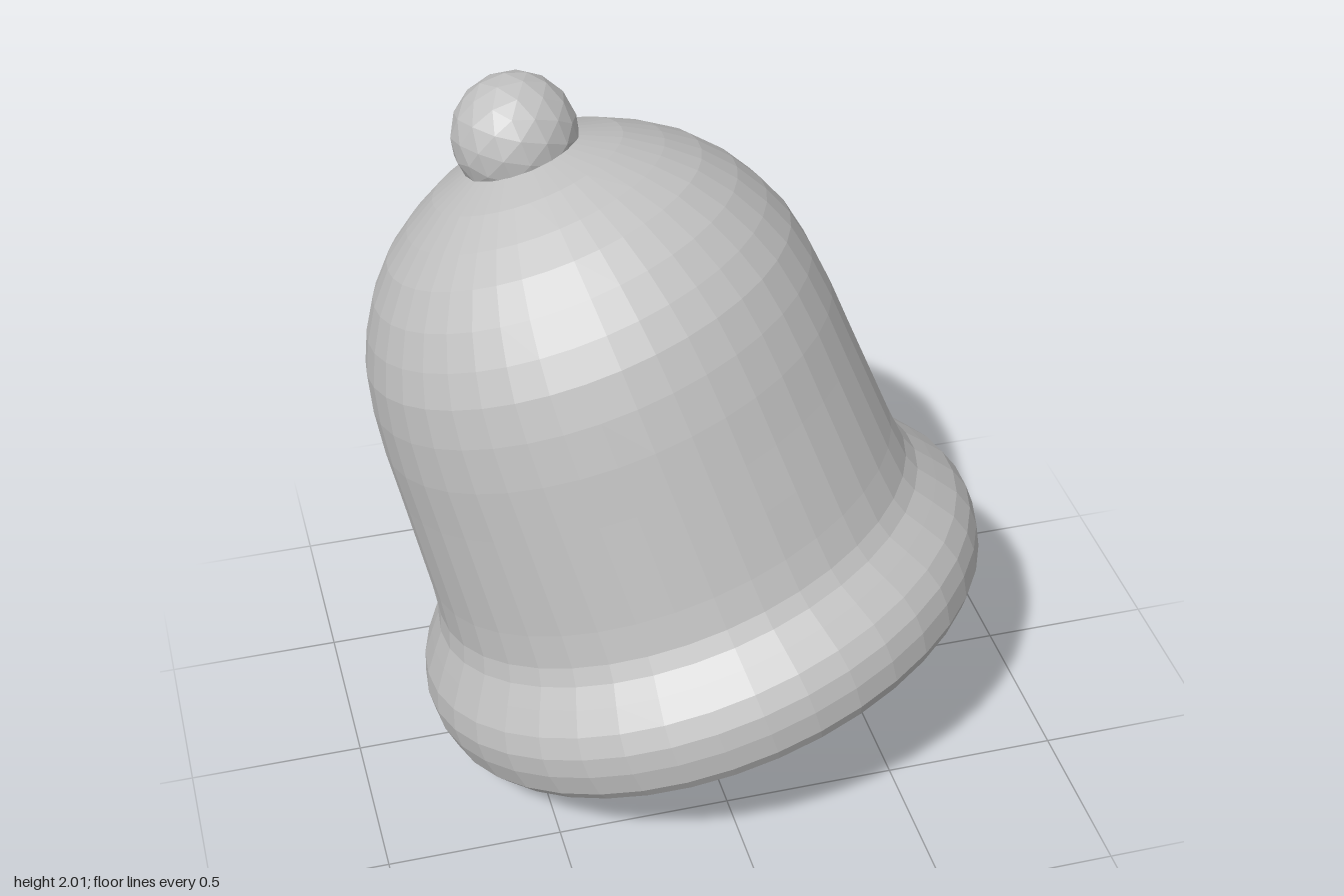
import * as THREE from 'three';

export function createModel() {
  const model = new THREE.Group();
  model.name = 'bell';
  const metal = new THREE.MeshStandardMaterial({ color: 0xc0c0c0, flatShading: true });
  metal.name = 'grey metal';

  // Everything is built along the bell's own axis, then tilted as one
  const tilted = new THREE.Group();
  tilted.name = 'tiltedBell';
  const axis = new THREE.Vector3(-0.282, 0.935, -0.213).normalize();
  tilted.quaternion.setFromUnitVectors(new THREE.Vector3(0, 1, 0), axis);
  tilted.position.set(0.04, 0.4, 0.01);
  model.add(tilted);

  const add = (name, geometry, y = 0) => {
    const mesh = new THREE.Mesh(geometry, metal);
    mesh.name = name;
    mesh.position.y = y;
    tilted.add(mesh);
  };

  // Hollow shell: down the inside, around the lip, up the outside
  const profile = [
    [0, 1.42], [0.2, 1.38], [0.38, 1.27], [0.51, 1.12], [0.58, 0.95],
    [0.62, 0.65], [0.65, 0.3], [0.68, 0.14], [0.72, 0.05], [0.74, -0.05], [0.755, -0.125],
    [0.78, -0.14], [0.815, -0.135], [0.84, -0.1], [0.854, -0.03], [0.852, 0.03],
    [0.83, 0.09], [0.785, 0.15], [0.745, 0.2], [0.725, 0.25], [0.712, 0.35],
    [0.7, 0.5], [0.688, 0.65], [0.677, 0.8], [0.66, 0.93], [0.635, 1.04], [0.595, 1.13],
    [0.54, 1.22], [0.465, 1.305], [0.38, 1.37], [0.28, 1.43], [0.16, 1.475], [0, 1.49],
  ].map(([r, y]) => new THREE.Vector2(r, y));
  add('bellShell', new THREE.LatheGeometry(profile, 40));

  // Ball on top and clapper ball in the mouth
  add('topKnob', new THREE.IcosahedronGeometry(0.178, 2), 1.524);
  add('clapper', new THREE.IcosahedronGeometry(0.289, 2), -0.08);

  return model;
}
